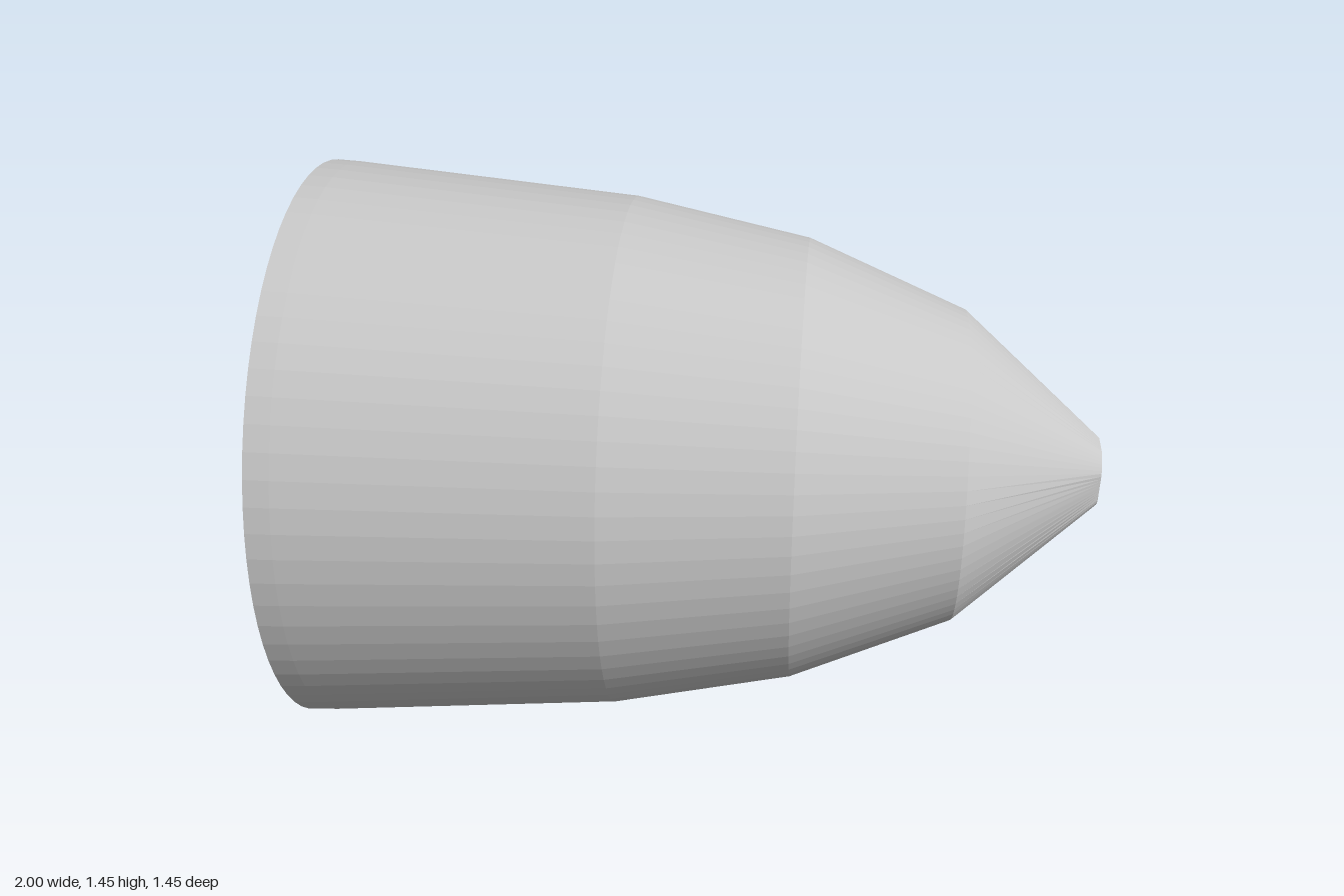
import * as THREE from 'three';

const RADIUS = 0.725;
const TIP = 0.088;

// Radius of the slightly clipped round tip in direction (y, z)
function tipRadius(y, z) {
  const a = Math.atan2(y, z);
  const flats = [[0, 0.078], [Math.PI / 2, 0.083], [-Math.PI / 2, 0.085], [-2.1, 0.077]];
  let r = TIP;
  for (const [dir, dist] of flats) {
    const c = Math.cos(a - dir);
    if (c > 0.1) r = Math.min(r, dist / c);
  }
  return r;
}

export function createModel() {
  const model = new THREE.Group();
  const grey = new THREE.MeshStandardMaterial({ color: 0xc8c8c8, flatShading: true });
  grey.name = 'plain grey';

  // Closed profile: radius, position along the axis
  const profile = [
    [0, -1], [RADIUS, -1], [0.722, -0.94], [0.66, -0.21],
    [0.57, 0.235], [0.403, 0.64], [TIP, 1], [0, 1],
  ].map(([r, a]) => new THREE.Vector2(r, a));

  // Turn the profile and lay its axis along x
  const geometry = new THREE.LatheGeometry(profile, 72);
  geometry.rotateZ(-Math.PI / 2);

  // Flatten the sides of the tip ring
  const p = geometry.attributes.position;
  for (let i = 0; i < p.count; i++) {
    const y = p.getY(i), z = p.getZ(i), r = Math.hypot(y, z);
    if (p.getX(i) > 0.99 && r > 0.01) {
      const k = tipRadius(y, z) / r;
      p.setY(i, y * k);
      p.setZ(i, z * k);
    }
  }
  const faceted = geometry.toNonIndexed();
  faceted.computeVertexNormals();

  const noseCone = new THREE.Mesh(faceted, grey);
  noseCone.name = 'noseCone';
  noseCone.position.y = RADIUS;
  model.add(noseCone);
  return model;
}
